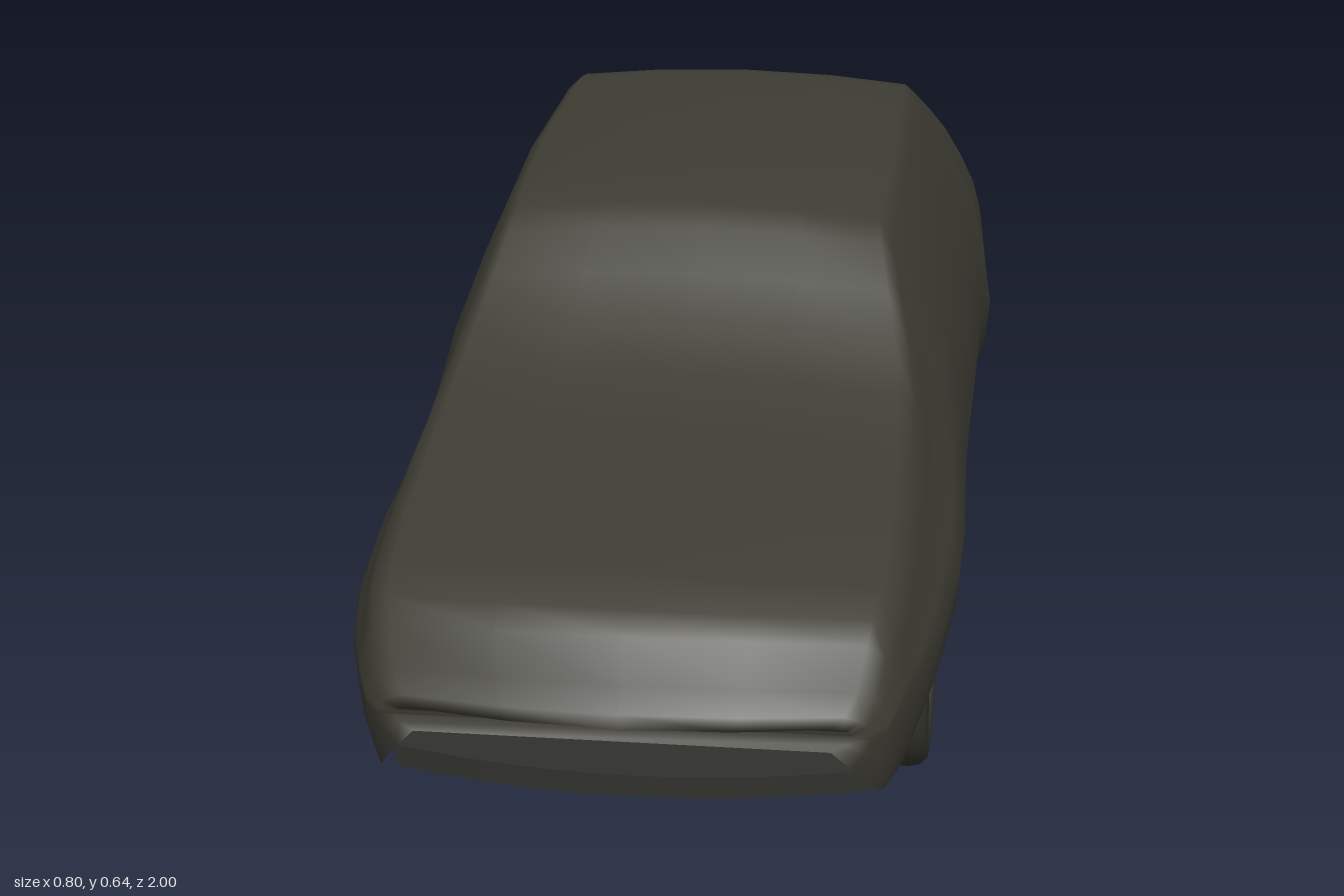
import * as THREE from 'three';

const mat = (name, color, side = THREE.FrontSide) => {
  const m = new THREE.MeshStandardMaterial({ color, side });
  m.name = name;
  return m;
};
const M = {
  cloth: mat('olive cloth', 0x3e3d34, THREE.DoubleSide),
  rubber: mat('tyre rubber', 0x35342d),
  rim: mat('bronze rim', 0x74644f),
  dark: mat('dark underbody', 0x1d1e1b),
  frame: mat('chassis grey', 0x30312c),
  rust: mat('rusty exhaust', 0x5c3324),
  patch: mat('rust patch', 0x2e1c16),
};

function add(parent, name, geo, material, x = 0, y = 0, z = 0) {
  const m = new THREE.Mesh(geo, material);
  m.name = name;
  m.position.set(x, y, z);
  parent.add(m);
  return m;
}
const box = (parent, name, material, w, h, d, x, y, z) =>
  add(parent, name, new THREE.BoxGeometry(w, h, d), material, x, y, z);

function pipe(parent, name, material, pts, r) {
  const path = new THREE.CurvePath();
  const v = pts.map((p) => new THREE.Vector3(...p));
  for (let i = 1; i < v.length; i++) path.add(new THREE.LineCurve3(v[i - 1], v[i]));
  return add(parent, name, new THREE.TubeGeometry(path, (v.length - 1) * 8, r, 8, false), material);
}

// Draped cover: [z, top y, top half width, waist half width, widest half width, hem y]
const STATIONS = [
  [-1.0, 0.21, 0.29, 0.3, 0.305, 0.16],
  [-0.985, 0.31, 0.31, 0.328, 0.335, 0.13],
  [-0.968, 0.395, 0.315, 0.34, 0.348, 0.118],
  [-0.948, 0.425, 0.315, 0.347, 0.356, 0.118],
  [-0.86, 0.472, 0.308, 0.358, 0.375, 0.12],
  [-0.7, 0.553, 0.29, 0.364, 0.388, 0.123],
  [-0.58, 0.61, 0.277, 0.366, 0.397, 0.123],
  [-0.53, 0.628, 0.275, 0.366, 0.402, 0.123],
  [-0.48, 0.637, 0.277, 0.358, 0.392, 0.122],
  [-0.15, 0.645, 0.284, 0.358, 0.392, 0.115],
  [0.05, 0.636, 0.282, 0.356, 0.392, 0.115],
  [0.13, 0.626, 0.28, 0.355, 0.393, 0.115],
  [0.17, 0.605, 0.285, 0.354, 0.394, 0.117],
  [0.23, 0.558, 0.3, 0.354, 0.396, 0.118],
  [0.3, 0.508, 0.317, 0.355, 0.399, 0.12],
  [0.39, 0.464, 0.33, 0.358, 0.402, 0.122],
  [0.5, 0.437, 0.336, 0.363, 0.402, 0.123],
  [0.7, 0.407, 0.338, 0.362, 0.387, 0.122],
  [0.85, 0.378, 0.337, 0.352, 0.368, 0.112],
  [0.92, 0.36, 0.33, 0.343, 0.352, 0.108],
  [0.945, 0.335, 0.325, 0.337, 0.344, 0.115],
  [0.97, 0.28, 0.315, 0.325, 0.332, 0.14],
  [0.99, 0.25, 0.3, 0.308, 0.312, 0.17],
  [1.0, 0.235, 0.28, 0.285, 0.288, 0.2],
];

function coverGeometry() {
  const pos = [], idx = [];
  for (const [z, yt, wt, ws, wm, yb] of STATIONS) {
    const ym = Math.min(0.25, yb + 0.5 * (yt - yb));
    const d = Math.min(0.035, 0.2 * (yt - yb));
    const ys = (ym + yt - d) / 2;
    const half = [
      [wm - 0.025, yb], [wm - 0.006, (yb + ym) / 2], [wm, ym],
      [(wm + ws) / 2 + 0.004, (ym + ys) / 2], [ws, ys],
      [(ws + wt) / 2 + 0.003, (ys + yt - d) / 2], [wt, yt - d],
      [wt * 0.93, yt - d * 0.45], [wt * 0.5, yt - d * 0.13],
    ];
    const ring = [...half, [0, yt], ...half.slice().reverse().map(([x, y]) => [-x, y])];
    // the nose is bowed in plan
    const bow = 0.055 * THREE.MathUtils.smoothstep(z, 0.7, 1);
    for (const [x, y] of ring) pos.push(x, y, z - bow * (x / 0.33) ** 2);
  }
  const n = 19, last = (STATIONS.length - 1) * n;
  for (let v = 0; v < STATIONS.length - 1; v++)
    for (let u = 0; u < n - 1; u++) {
      const a = v * n + u, c = a + n;
      idx.push(a, a + 1, c, a + 1, c + 1, c);
    }
  // nose and tail closures
  for (let u = 0; u < n / 2 - 1; u++) {
    const w = n - 1 - u;
    idx.push(u, w, u + 1, u + 1, w, w - 1);
    idx.push(last + u, last + u + 1, last + w, last + u + 1, last + w - 1, last + w);
  }
  const g = new THREE.BufferGeometry();
  g.setAttribute('position', new THREE.Float32BufferAttribute(pos, 3));
  g.setIndex(idx);
  g.computeVertexNormals();
  return g;
}

// Wheel with its outer face towards +x
function wheel() {
  const g = new THREE.Group();
  const profile = [[0.08, -0.03], [0.1, -0.038], [0.118, -0.035], [0.127, -0.026], [0.13, -0.012],
    [0.13, 0.012], [0.127, 0.026], [0.118, 0.035], [0.1, 0.038], [0.08, 0.03], [0.078, 0], [0.08, -0.03]];
  const tyre = new THREE.LatheGeometry(profile.map(([r, y]) => new THREE.Vector2(r, y)), 40);
  add(g, 'tyre', tyre.rotateZ(-Math.PI / 2), M.rubber);
  const disc = new THREE.Shape().absarc(0, 0, 0.083, 0, Math.PI * 2);
  for (let i = 0; i < 10; i++) {
    const a = (i / 10) * Math.PI * 2;
    disc.holes.push(new THREE.Path().absarc(Math.cos(a) * 0.06, Math.sin(a) * 0.06, 0.011, 0, Math.PI * 2));
  }
  const face = new THREE.ExtrudeGeometry(disc, { depth: 0.008, bevelEnabled: false, curveSegments: 20 });
  add(g, 'rim', face.rotateY(Math.PI / 2), M.rim, 0.018);
  add(g, 'brakeDrum', new THREE.CylinderGeometry(0.078, 0.078, 0.045, 24).rotateZ(Math.PI / 2), M.dark, -0.006);
  add(g, 'hubCap', new THREE.CylinderGeometry(0.02, 0.026, 0.012, 20).rotateZ(-Math.PI / 2), M.frame, 0.03);
  for (let i = 0; i < 5; i++) {
    const a = (i / 5) * Math.PI * 2;
    add(g, 'wheelNut', new THREE.CylinderGeometry(0.005, 0.005, 0.008, 6).rotateZ(Math.PI / 2), M.frame,
      0.028, Math.cos(a) * 0.036, Math.sin(a) * 0.036);
  }
  return g;
}

export function createModel() {
  const car = new THREE.Group();
  car.name = 'coveredCar';
  add(car, 'cover', coverGeometry(), M.cloth);

  // Floor pans, narrower between the wheels
  const under = new THREE.Group();
  under.name = 'underbody';
  car.add(under);
  box(under, 'floorPan', M.dark, 0.7, 0.03, 0.82, 0, 0.135, 0);
  box(under, 'enginePan', M.dark, 0.48, 0.02, 0.42, 0, 0.155, 0.6);
  box(under, 'rearPan', M.dark, 0.48, 0.02, 0.36, 0, 0.17, -0.59);
  box(under, 'bootFloor', M.dark, 0.62, 0.02, 0.2, 0, 0.17, -0.86);
  box(under, 'tunnel', M.dark, 0.1, 0.012, 0.8, 0.04, 0.116, 0);

  // Front valance, bowed in plan
  const plan = new THREE.Shape();
  plan.moveTo(-0.31, -0.78);
  plan.lineTo(0.31, -0.78);
  plan.lineTo(0.31, -0.85);
  plan.quadraticCurveTo(0, -0.95, -0.31, -0.85);
  const valance = new THREE.ExtrudeGeometry(plan, { depth: 0.03, bevelEnabled: false, curveSegments: 16 });
  valance.rotateX(-Math.PI / 2);
  add(under, 'frontValance', valance, M.frame, 0, 0.088, 0);
  box(under, 'valanceLip', M.rim, 0.36, 0.006, 0.04, 0, 0.085, 0.83);

  // Engine, gearbox and front crossmember
  box(under, 'sump', M.frame, 0.16, 0.05, 0.2, -0.02, 0.125, 0.64);
  box(under, 'gearbox', M.frame, 0.11, 0.04, 0.2, -0.02, 0.128, 0.45);
  box(under, 'frontCrossmember', M.frame, 0.5, 0.025, 0.05, 0, 0.125, 0.54);
  box(under, 'rearCrossmember', M.frame, 0.5, 0.025, 0.05, 0, 0.14, -0.44);
  for (const z of [-0.3, 0.05, 0.34]) box(under, 'floorRib', M.frame, 0.66, 0.008, 0.025, 0, 0.117, z);
  box(under, 'frontRustPatch', M.patch, 0.11, 0.008, 0.16, -0.23, 0.117, 0.19);
  box(under, 'rearRustPatch', M.patch, 0.13, 0.008, 0.08, -0.11, 0.117, -0.36);
  box(under, 'leftRustPatch', M.patch, 0.11, 0.008, 0.16, 0.23, 0.117, 0.19);

  // Axles
  for (const z of [0.58, -0.6])
    add(under, z > 0 ? 'driveShaft' : 'rearAxle',
      new THREE.CylinderGeometry(0.013, 0.013, 0.62, 10).rotateZ(Math.PI / 2), M.frame, 0, 0.13, z);

  // Parts repeated on both sides
  for (const s of [1, -1]) {
    const side = s > 0 ? 'left' : 'right';
    box(under, side + 'Sill', M.frame, 0.03, 0.03, 0.8, s * 0.345, 0.115, 0);
    box(under, side + 'SillStrip', M.rim, 0.012, 0.01, 0.8, s * 0.366, 0.114, 0);
    box(under, side + 'ChassisRail', M.frame, 0.03, 0.014, 0.6, s * 0.17, 0.115, 0.06);
    box(under, side + 'FrontRail', M.frame, 0.035, 0.03, 0.42, s * 0.22, 0.135, 0.6);
    pipe(under, side + 'TrailingArm', M.frame, [[s * 0.22, 0.125, -0.4], [s * 0.27, 0.125, -0.6]], 0.014);
    pipe(under, side + 'WishboneFront', M.frame, [[s * 0.18, 0.125, 0.68], [s * 0.29, 0.115, 0.58]], 0.01);
    pipe(under, side + 'WishboneRear', M.frame, [[s * 0.18, 0.125, 0.48], [s * 0.29, 0.115, 0.58]], 0.01);
    box(under, side + 'FrontMudFlap', M.frame, 0.12, 0.075, 0.012, s * 0.3, 0.098, 0.42);
    box(under, side + 'RearMudFlap', M.frame, 0.12, 0.085, 0.012, s * 0.3, 0.103, -0.775);
    for (const z of [0.58, -0.6]) {
      const w = wheel();
      w.name = side + (z > 0 ? 'FrontWheel' : 'RearWheel');
      w.position.set(s * 0.333, 0.13, z);
      if (s < 0) w.rotation.y = Math.PI;
      car.add(w);
    }
  }

  // Exhaust line
  const exhaust = new THREE.Group();
  exhaust.name = 'exhaust';
  car.add(exhaust);
  pipe(exhaust, 'exhaustPipe', M.rust, [[0.12, 0.14, 0.72], [0.17, 0.105, 0.63], [0.08, 0.105, 0.33],
    [0.035, 0.105, 0.15], [0.026, 0.105, -0.3], [0.17, 0.12, -0.49], [0.17, 0.155, -0.6], [0.17, 0.15, -0.74]], 0.012);
  const silencer = (name, r, len, x, y, z) => {
    const m = add(exhaust, name, new THREE.CylinderGeometry(r, r, len, 18).rotateX(Math.PI / 2), M.rust, x, y, z);
    m.scale.set(1.5, 0.8, 1);
  };
  silencer('middleSilencer', 0.027, 0.2, 0.033, 0.108, 0.03);
  silencer('rearSilencer', 0.035, 0.2, 0.17, 0.15, -0.83);
  return car;
}
